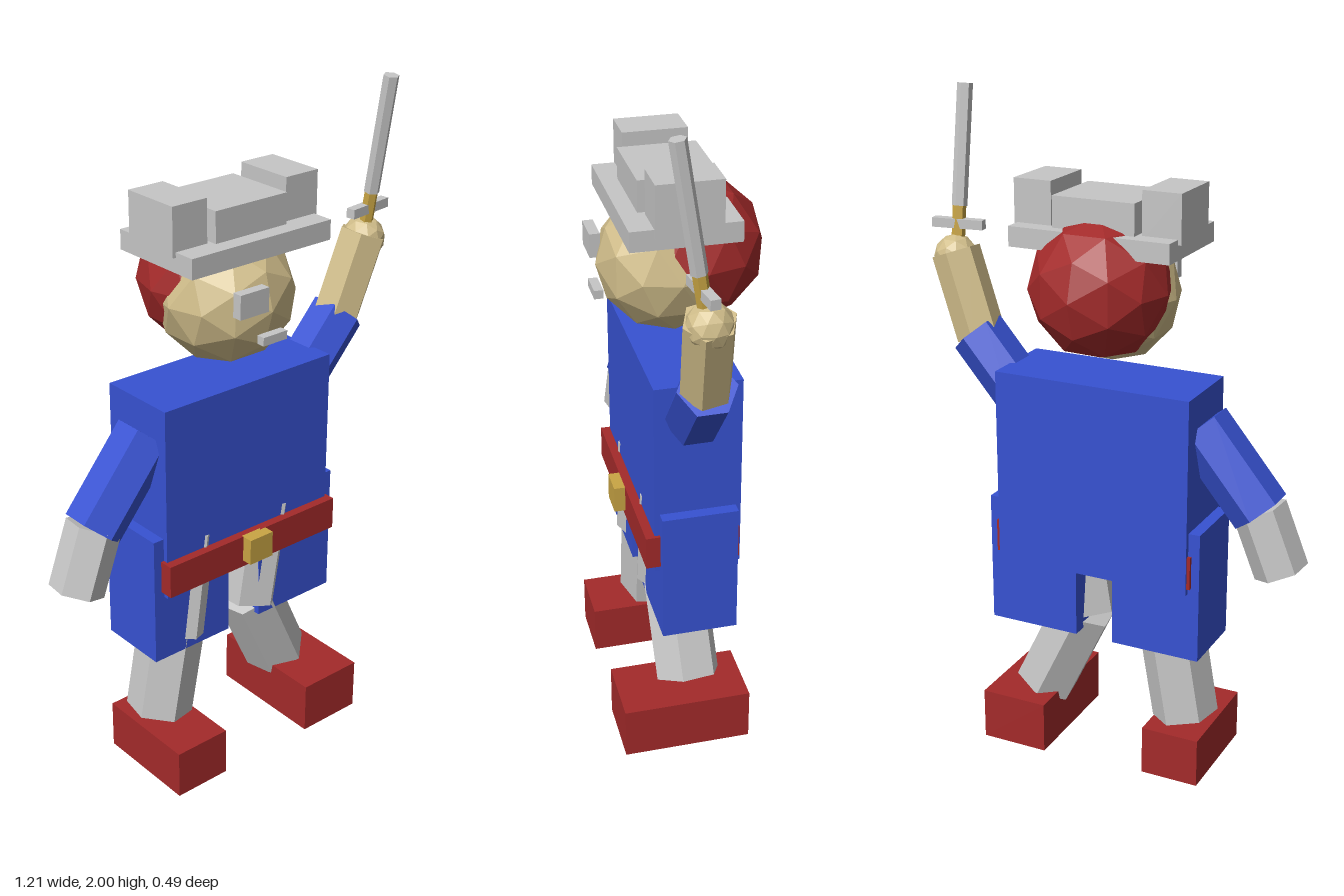
import * as THREE from 'three';

const material = (name, color) => {
  const m = new THREE.MeshStandardMaterial({ color, flatShading: true });
  m.name = name;
  return m;
};

export function createModel() {
  const model = new THREE.Group();
  model.name = 'swordsman';

  const blue = material('coat blue', 0x3752d2);
  const red = material('dark red', 0xa32a2a);
  const silver = material('silver', 0xc6c6c6);
  const skin = material('skin tan', 0xd0bd8a);
  const gold = material('gold', 0xc9a544);

  const add = (name, geometry, mat) => {
    const mesh = new THREE.Mesh(geometry, mat);
    mesh.name = name;
    model.add(mesh);
    return mesh;
  };

  // Box given by its extents on each axis
  const box = (name, mat, [x0, x1], [y0, y1], [z0, z1]) => {
    const mesh = add(name, new THREE.BoxGeometry(x1 - x0, y1 - y0, z1 - z0), mat);
    mesh.position.set((x0 + x1) / 2, (y0 + y1) / 2, (z0 + z1) / 2);
    return mesh;
  };

  // Six-sided limb between two points, twisted about its own axis
  const limb = (name, mat, from, to, radius, twist = 0) => {
    const a = new THREE.Vector3(...from), b = new THREE.Vector3(...to);
    const dir = b.clone().sub(a);
    const geometry = new THREE.CylinderGeometry(radius, radius, dir.length(), 6);
    geometry.rotateY(twist);
    const mesh = add(name, geometry, mat);
    mesh.position.copy(a).add(b).multiplyScalar(0.5);
    mesh.quaternion.setFromUnitVectors(new THREE.Vector3(0, 1, 0), dir.normalize());
    return mesh;
  };

  const ball = (name, mat, radius, x, y, z) =>
    add(name, new THREE.IcosahedronGeometry(radius, 1), mat).position.set(x, y, z);

  // Body and belt
  box('torso', blue, [-0.30, 0.31], [0.63, 1.22], [-0.11, 0.14]);
  box('rightSkirt', blue, [-0.335, -0.06], [0.42, 0.82], [-0.095, 0.125]);
  box('leftSkirt', blue, [0.06, 0.345], [0.42, 0.82], [-0.095, 0.125]);
  box('belt', red, [-0.31, 0.32], [0.65, 0.75], [-0.105, 0.167]);
  box('buckle', gold, [-0.04, 0.045], [0.67, 0.75], [0.16, 0.20]);

  // Legs
  limb('rightThigh', silver, [-0.145, 0.785, 0.045], [-0.19, 0.45, 0.045], 0.1, 0.1);
  limb('leftThigh', silver, [0.135, 0.785, 0.045], [0.08, 0.45, 0.045], 0.1, -0.1);
  limb('rightShin', silver, [-0.25, 0.17, 0.025], [-0.195, 0.475, 0.028], 0.1, -0.2);
  limb('leftShin', silver, [0.226, 0.17, 0.02], [0.093, 0.453, 0.03], 0.1, 0.17);
  box('rightBoot', red, [-0.34, -0.16], [0, 0.152], [-0.095, 0.233]);
  box('leftBoot', red, [0.155, 0.365], [0.01, 0.17], [-0.135, 0.245]);

  // Arms
  limb('rightUpperArm', blue, [-0.47, 0.875, 0.025], [-0.28, 1.105, 0.025], 0.087);
  limb('rightForearm', silver, [-0.537, 0.70, 0.03], [-0.465, 0.885, 0.025], 0.08, -0.15);
  limb('leftUpperArm', blue, [0.29, 1.105, 0.025], [0.447, 1.285, 0.028], 0.083);
  limb('leftForearm', skin, [0.435, 1.275, 0.03], [0.523, 1.52, 0.045], 0.073, 0.15);
  ball('leftHand', skin, 0.065, 0.523, 1.505, 0.045);

  // Raised sword
  limb('swordGrip', gold, [0.52, 1.48, 0.045], [0.522, 1.66, 0.073], 0.02);
  limb('swordBlade', silver, [0.522, 1.65, 0.072], [0.523, 1.998, 0.127], 0.023);
  const guard = box('swordGuard', silver, [0.44, 0.60], [1.586, 1.614], [0.047, 0.075]);
  guard.rotation.y = 0.13;

  // Head, hair and face
  ball('head', skin, 0.2, 0.003, 1.46, 0.03);
  ball('hair', red, 0.205, 0.003, 1.49, -0.04);
  box('eyePatch', silver, [-0.12, -0.02], [1.47, 1.54], [0.21, 0.24]);
  box('mouth', silver, [-0.04, 0.045], [1.375, 1.40], [0.217, 0.243]);

  // Hat
  box('hatBrim', silver, [-0.24, 0.25], [1.597, 1.655], [-0.12, 0.187]);
  box('hatCrown', silver, [-0.12, 0.13], [1.64, 1.745], [-0.085, 0.138]);
  box('hatRightFlap', silver, [-0.25, -0.134], [1.64, 1.78], [-0.066, 0.12]);
  box('hatLeftFlap', silver, [0.143, 0.259], [1.63, 1.78], [-0.066, 0.12]);

  return model;
}
